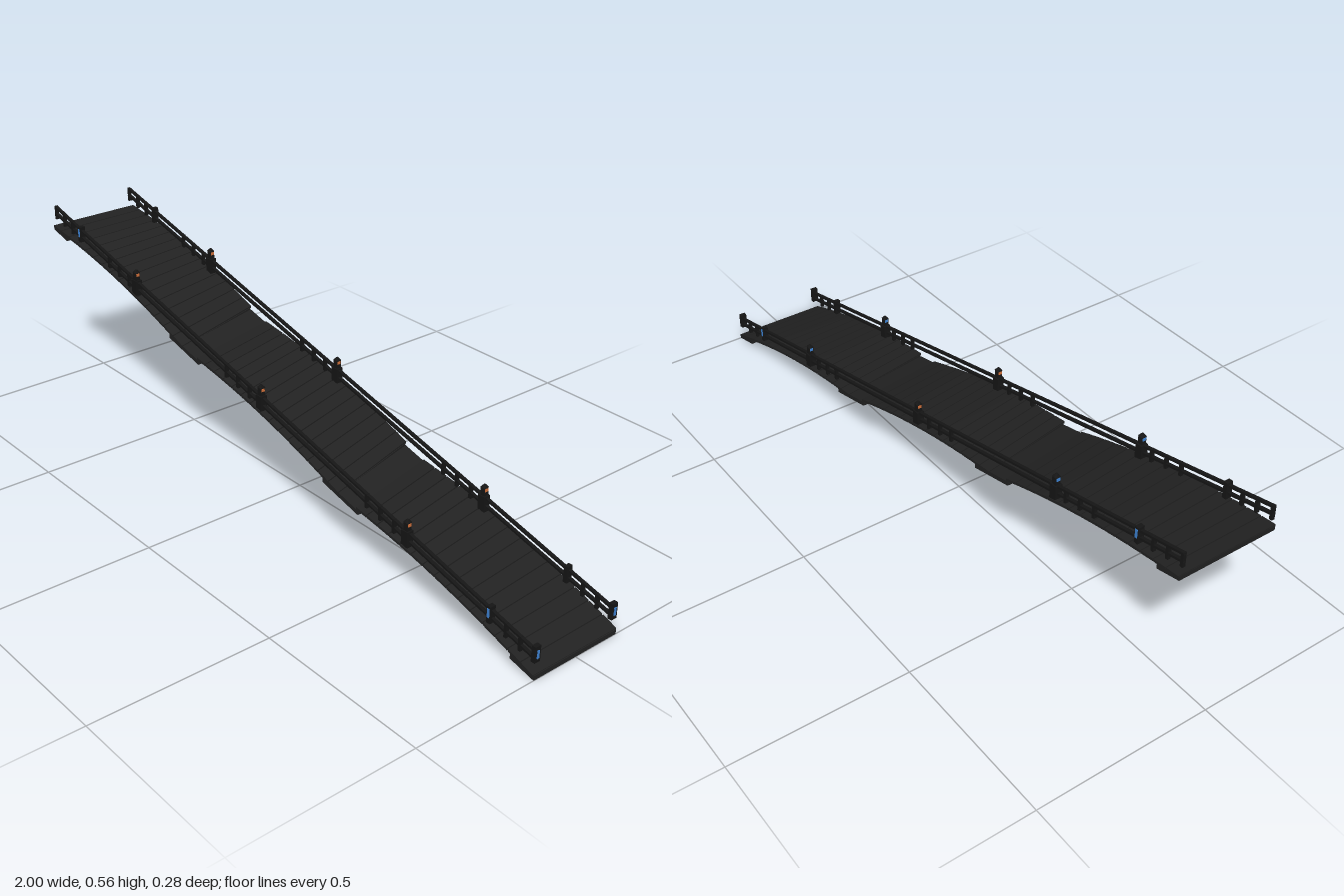
import * as THREE from 'three';

const mat = (name, color) => {
  const m = new THREE.MeshStandardMaterial({ color });
  m.name = name;
  return m;
};

// Straight grade of the walkway, and the arch of each span above it
const grade = x => 0.2595 - 0.245 * x;
const SPAN = 2 / 3;
const archY = (x, k) => {
  const u = (x + 1 - k * SPAN) / SPAN;
  return grade(x) + 0.09 * u * (1 - u);
};

// Span ends at z = 0, with the skew of each end
const spans = [
  { x0: -1, x1: -0.367, s0: 0, s1: 0.21 },
  { x0: -0.3, x1: 0.297, s0: 0.21, s1: 0.21 },
  { x0: 0.363, x1: 1, s0: 0.21, s1: 0 },
];

export function createModel() {
  const root = new THREE.Group();
  root.name = 'archedFootbridge';
  const deckMat = mat('dark deck', 0x222222);
  const metalMat = mat('black metal', 0x161616);
  const orangeMat = mat('orange light', 0xd9743c);
  const blueMat = mat('blue light', 0x3f86d8);

  const add = (parent, name, geo, material, x = 0, y = 0, z = 0) => {
    const mesh = new THREE.Mesh(geo, material);
    mesh.name = name;
    mesh.position.set(x, y, z);
    parent.add(mesh);
    return mesh;
  };
  const box = (parent, name, material, w, h, d, x, y, z) =>
    add(parent, name, new THREE.BoxGeometry(w, h, d), material, x, y, z);

  // Box bent to follow a span between fractions t0 and t1
  const bentBox = (k, t0, t1, bottom, top, width, segs) => {
    const { x0, x1, s0, s1 } = spans[k];
    const geo = new THREE.BoxGeometry(1, 1, width, segs, 1, 1);
    const p = geo.attributes.position;
    for (let i = 0; i < p.count; i++) {
      const z = p.getZ(i);
      const t = t0 + (t1 - t0) * (p.getX(i) + 0.5);
      const x = THREE.MathUtils.lerp(x0 + s0 * z, x1 + s1 * z, t);
      p.setXYZ(i, x, archY(x, k) + (p.getY(i) > 0 ? top : bottom), z);
    }
    geo.computeVertexNormals();
    return geo;
  };

  // Arched spans: a continuous shell with cross planks on top
  const PLANKS = 15;
  spans.forEach((_, k) => {
    const span = new THREE.Group();
    span.name = 'span' + (k + 1);
    root.add(span);
    add(span, 'deckShell', bentBox(k, 0, 1, -0.012, -0.004, 0.274, 20), deckMat);
    for (let i = 0; i < PLANKS; i++) {
      const geo = bentBox(k, (i + 0.04) / PLANKS, (i + 0.96) / PLANKS, -0.007, 0, 0.285, 1);
      add(span, 'plank', geo, deckMat);
    }
  });

  // Bearing slabs under the joints and both ends, sloped with the grade
  for (const [a, b] of [[-1, -0.93], [-0.402, -0.268], [0.262, 0.398], [0.925, 1]]) {
    const geo = new THREE.BoxGeometry(b - a, 0.0125, 0.28);
    const p = geo.attributes.position;
    for (let i = 0; i < p.count; i++) {
      const x = p.getX(i) + (a + b) / 2;
      p.setXYZ(i, x, p.getY(i) + grade(x) - 0.008, p.getZ(i));
    }
    geo.computeVertexNormals();
    add(root, 'bearingSlab', geo, deckMat);
  }

  const smallPosts = [-0.995, -0.95, -0.905, -0.71, -0.66, -0.61, -0.15, -0.1, -0.05,
    0.42, 0.47, 0.52, 0.9, 0.945];
  const lanterns = [-0.572, 0, 0.566];

  for (const side of [1, -1]) {
    const railing = new THREE.Group();
    railing.name = side > 0 ? 'frontRailing' : 'backRailing';
    root.add(railing);
    const z = side * 0.13;

    // Two straight handrails
    for (const h of [0.036, 0.057]) {
      const rail = box(railing, 'handrail', metalMat, 2 * Math.hypot(1, 0.245) - 0.002, 0.006, 0.009,
        0, grade(0) + h, z);
      rail.rotation.z = -Math.atan(0.245);
    }

    // Slim posts
    for (const x of smallPosts) {
      box(railing, 'railPost', metalMat, 0.008, 0.04, 0.009, x, grade(x) + 0.04, z);
    }

    // Wide posts with blue light strips
    for (const x of [-0.858, 0.85]) {
      box(railing, 'lightPost', metalMat, 0.012, 0.046, 0.017, x, grade(x) + 0.045, z);
      box(railing, 'blueStrip', blueMat, 0.007, 0.024, 0.002, x, grade(x) + 0.05, z + side * 0.009);
    }
    box(railing, 'endPost', metalMat, 0.012, 0.044, 0.018, 0.992, grade(0.992) + 0.051, z);
    box(railing, 'endBlueStrip', blueMat, 0.002, 0.022, 0.007, 0.9988, grade(0.992) + 0.051, z);

    // Lantern posts: base, neck, lamp head and pointed cap
    for (const x of lanterns) {
      const lantern = new THREE.Group();
      lantern.name = 'lantern';
      lantern.position.set(x, grade(x), z);
      railing.add(lantern);
      box(lantern, 'lanternBase', metalMat, 0.022, 0.044, 0.02, 0, 0.04, 0);
      box(lantern, 'lanternNeck', metalMat, 0.014, 0.014, 0.014, 0, 0.066, 0);
      box(lantern, 'lampHead', metalMat, 0.014, 0.013, 0.014, 0, 0.078, 0);
      const cap = add(lantern, 'lampCap', new THREE.CylinderGeometry(0.003, 0.011, 0.008, 4), metalMat, 0, 0.0885, 0);
      cap.rotation.y = Math.PI / 4;
      box(lantern, 'lampLight', orangeMat, 0.002, 0.008, 0.01, 0.0075, 0.078, 0);
      box(lantern, 'rearLight', x === 0 ? orangeMat : blueMat, 0.002, 0.008, 0.01, -0.0075, 0.078, 0);
    }
  }
  return root;
}
